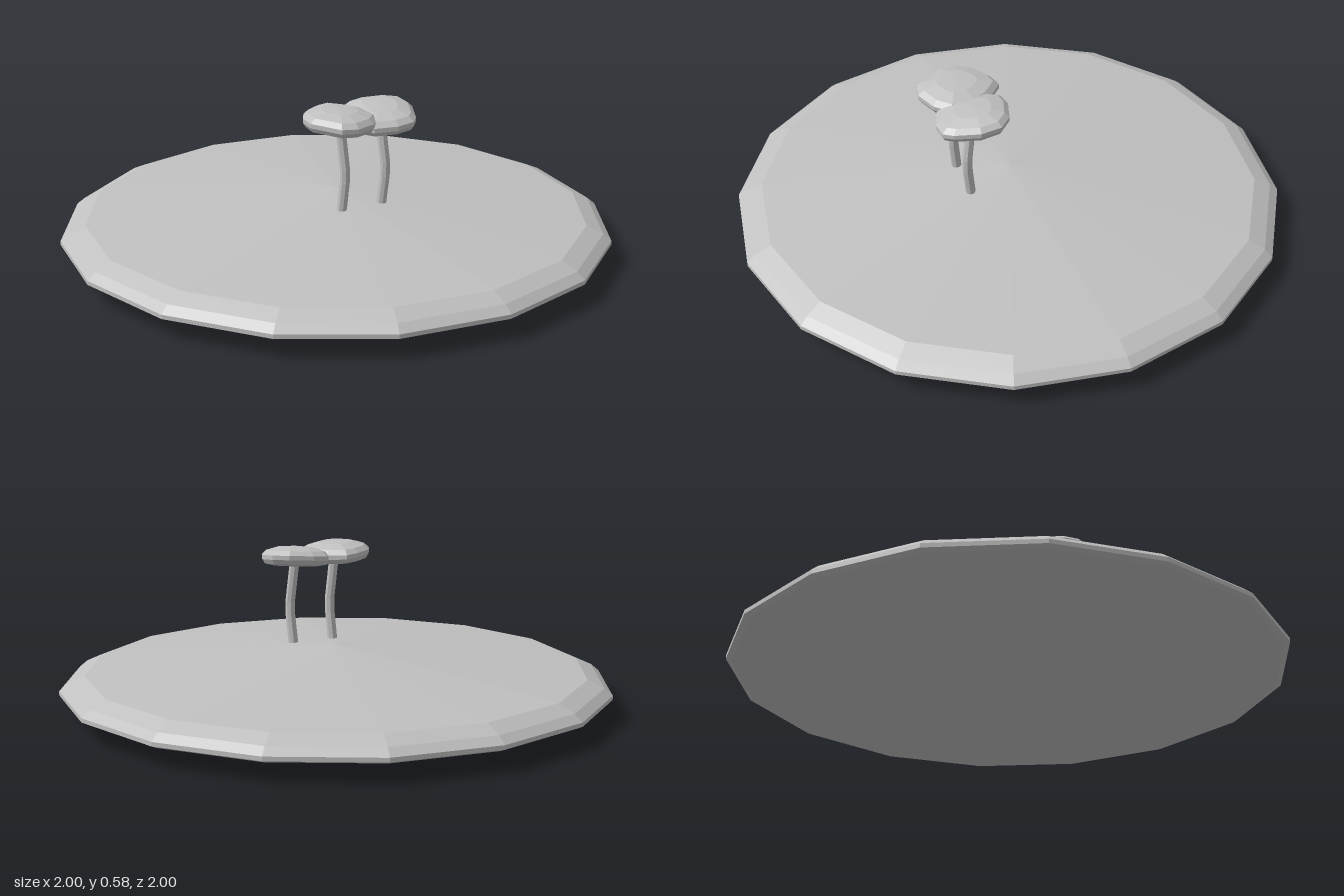
import * as THREE from 'three';

export function createModel() {
  const model = new THREE.Group();
  const grey = new THREE.MeshStandardMaterial({ color: 0xc0c0c0 });
  grey.name = 'plain grey';
  grey.flatShading = true;

  function add(name, geometry) {
    const mesh = new THREE.Mesh(geometry, grey);
    mesh.name = name;
    model.add(mesh);
    return mesh;
  }

  // Shallow sixteen-sided ground disc with a bevelled rim
  const profile = [[0, 0], [0.98, 0.066], [1, 0.075], [1, 0.09], [0.97, 0.115], [0.91, 0.142], [0, 0.226]];
  add('groundDisc', new THREE.LatheGeometry(profile.map(([r, y]) => new THREE.Vector2(r, y)), 16));

  // Lumpy cap: one outline scaled through rings, closed by a point at each end
  function capGeometry(outline, [cx, cy, cz], slopeX, slopeZ) {
    const rings = [[0, -0.026], [0.65, -0.033], [0.92, -0.026], [1, -0.01], [1, 0.006], [0.86, 0.023], [0.5, 0.037], [0, 0.041]];
    const n = outline.length;
    const positions = [];
    const index = [];
    rings.forEach(([scale, y], j) => {
      outline.forEach(([px, pz], i) => {
        const x = (px - cx) * scale;
        const z = (pz - cz) * scale;
        positions.push(cx + x, cy + y + slopeX * x + slopeZ * z, cz + z);
        if (j === rings.length - 1) return;
        const a = j * n + i;
        const b = j * n + (i + 1) % n;
        if (j < rings.length - 2) index.push(a, a + n, b + n);
        if (j > 0) index.push(a, b + n, b);
      });
    });
    const geometry = new THREE.BufferGeometry();
    geometry.setAttribute('position', new THREE.Float32BufferAttribute(positions, 3));
    geometry.setIndex(index);
    geometry.computeVertexNormals();
    return geometry;
  }

  // Stem bent once at mid height, built from stacked rings
  function stemGeometry(path, z) {
    const geometry = new THREE.CylinderGeometry(0.018, 0.018, 1, 8, path.length - 1);
    const p = geometry.attributes.position;
    for (let i = 0; i < p.count; i++) {
      const k = Math.round((p.getY(i) + 0.5) * (path.length - 1));
      p.setXYZ(i, p.getX(i) + path[k][0], path[k][1], p.getZ(i) + z);
    }
    geometry.computeVertexNormals();
    return geometry;
  }

  // Front mushroom
  add('frontStem', stemGeometry([[0.121, 0.19], [0.135, 0.31], [0.136, 0.36], [0.114, 0.53]], 0.147));
  add('frontCap', capGeometry([
    [0.06, 0.028], [0.14, 0.022], [0.22, 0.065], [0.243, 0.13], [0.237, 0.215], [0.2, 0.262],
    [0.08, 0.275], [0.022, 0.24], [-0.01, 0.19], [-0.018, 0.11], [-0.008, 0.055],
  ], [0.112, 0.539, 0.148], -0.04, 0.03));

  // Back mushroom, its cap tipping towards the front
  add('backStem', stemGeometry([[0.194, 0.19], [0.209, 0.31], [0.21, 0.36], [0.186, 0.53]], 0));
  add('backCap', capGeometry([
    [0.18, -0.143], [0.25, -0.113], [0.31, -0.04], [0.325, 0], [0.3, 0.06], [0.24, 0.12],
    [0.18, 0.13], [0.12, 0.09], [0.06, 0.04], [0.04, 0], [0.06, -0.055], [0.12, -0.12],
  ], [0.182, 0.532, -0.005], -0.06, -0.12));

  return model;
}
